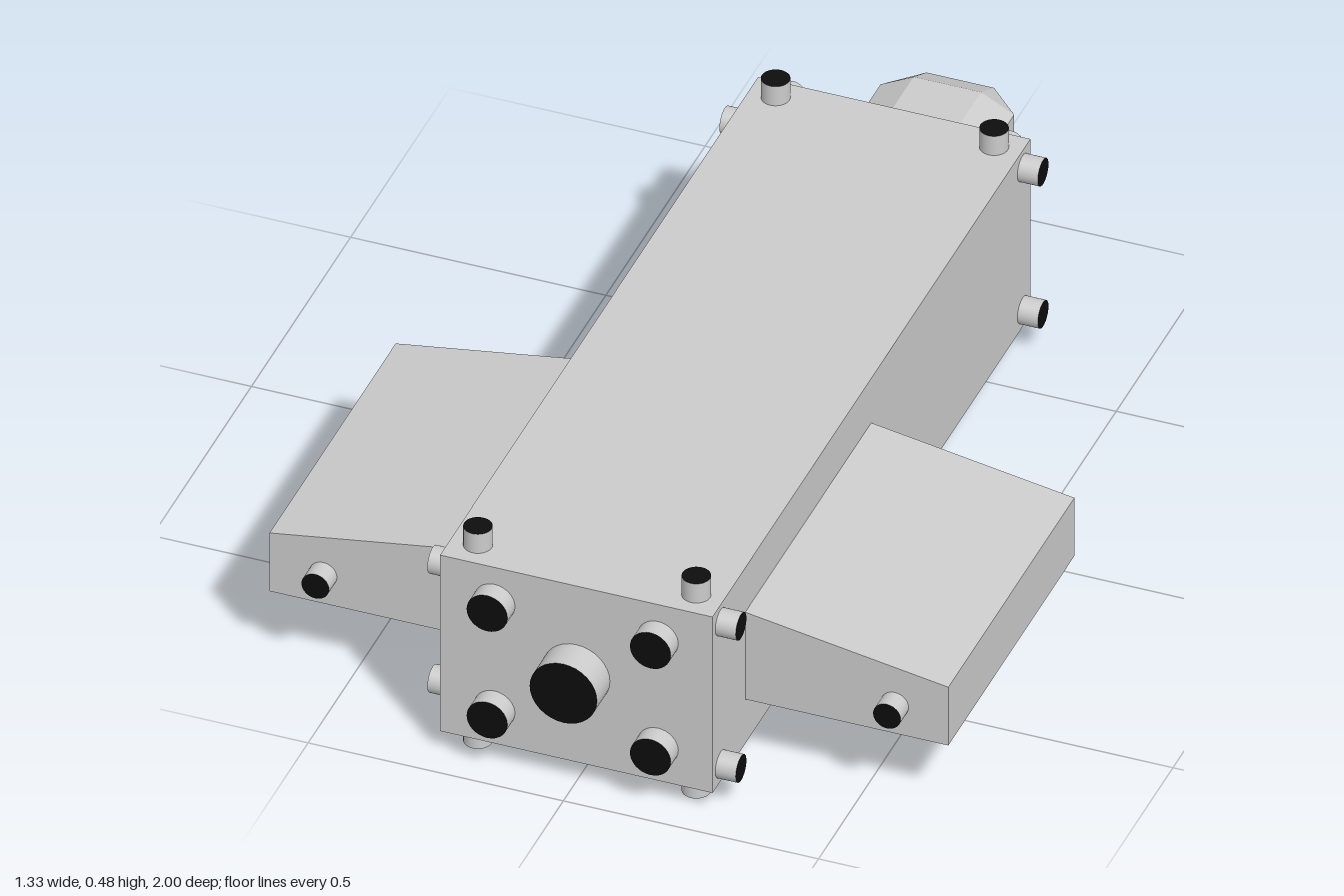
import * as THREE from 'three';
import { ConvexGeometry } from 'three/addons/geometries/ConvexGeometry.js';

const grey = new THREE.MeshStandardMaterial({ color: 0xcccccc });
const flatGrey = new THREE.MeshStandardMaterial({ color: 0xcccccc, flatShading: true });
const black = new THREE.MeshStandardMaterial({ color: 0x0d0d0d });

// Short tube standing on a surface point, pointing along dir, with a black mouth
function nozzle(name, radius, length, base, dir) {
  const group = new THREE.Group();
  group.name = name;
  const tube = new THREE.Mesh(new THREE.CylinderGeometry(radius, radius, length, 32, 1, true), grey);
  tube.position.y = length / 2;
  tube.name = name + 'Tube';
  const mouth = new THREE.Mesh(new THREE.CircleGeometry(radius, 32), black);
  mouth.rotation.x = -Math.PI / 2;
  mouth.position.y = length;
  mouth.name = name + 'Mouth';
  group.add(tube, mouth);
  group.position.set(...base);
  group.quaternion.setFromUnitVectors(new THREE.Vector3(0, 1, 0), new THREE.Vector3(...dir));
  return group;
}

// Wedge wing extruded along z; side is +1 (left) or -1 (right)
function wing(side) {
  const pts = [[0.26, 0.144], [0.665, 0.144], [0.665, 0.275], [0.26, 0.341]];
  const shape = new THREE.Shape(pts.map(([x, y]) => new THREE.Vector2(side * x, y)));
  const geo = new THREE.ExtrudeGeometry(shape, { depth: 0.635, bevelEnabled: false });
  geo.translate(0, 0, 0.135);
  const mesh = new THREE.Mesh(geo, flatGrey);
  mesh.name = side > 0 ? 'leftWing' : 'rightWing';
  return mesh;
}

// Box with every edge chamfered: three sets of inset corners
function chamferedBox(hx, hy, hz, ix, iy, iz) {
  const pts = [];
  for (const x of [-1, 1]) for (const y of [-1, 1]) for (const z of [-1, 1]) {
    pts.push(new THREE.Vector3(x * hx, y * (hy - iy), z * (hz - iz)));
    pts.push(new THREE.Vector3(x * (hx - ix), y * hy, z * (hz - iz)));
    pts.push(new THREE.Vector3(x * (hx - ix), y * (hy - iy), z * hz));
  }
  return new ConvexGeometry(pts);
}

export function createModel() {
  const model = new THREE.Group();
  model.name = 'spacecraft';

  // Long box hull
  const hull = new THREE.Mesh(new THREE.BoxGeometry(0.534, 0.396, 1.602), flatGrey);
  hull.position.set(0, 0.242, 0.134);
  hull.name = 'hull';
  model.add(hull);

  // Chamfered block at the back
  const tail = new THREE.Mesh(chamferedBox(0.131, 0.067, 0.22, 0.065, 0.034, 0.065), flatGrey);
  tail.position.set(0, 0.246, -0.78);
  tail.name = 'tailBlock';
  model.add(tail);

  // Main nozzle
  model.add(nozzle('mainNozzle', 0.066, 0.065, [0, 0.242, 0.935], [0, 0, 1]));

  for (const s of [-1, 1]) {
    // Wings with a small nozzle each
    model.add(wing(s));
    model.add(nozzle('wingNozzle', 0.027, 0.04, [s * 0.56, 0.209, 0.77], [0, 0, 1]));

    // Front and back corner nozzles
    for (const y of [0.122, 0.362])
      model.add(nozzle('frontNozzle', 0.04, 0.038, [s * 0.16, y, 0.935], [0, 0, 1]));
    for (const y of [0.098, 0.392])
      model.add(nozzle('backNozzle', 0.026, 0.04, [s * 0.214, y, -0.667], [0, 0, -1]));

    // Top, bottom and side nozzles; the two sides sit slightly differently
    for (const end of [-1, 1]) {
      const z = 0.13 + end * 0.75;
      model.add(nozzle('topNozzle', 0.027, 0.043, [s * 0.214, 0.44, z], [0, 1, 0]));
      model.add(nozzle('bottomNozzle', 0.027, 0.044, [s * 0.214, 0.044, z], [0, -1, 0]));
      const sideZ = 0.133 + end * (s > 0 ? 0.761 : 0.736);
      for (const up of [-1, 1]) {
        const y = 0.242 + up * (s > 0 ? 0.16 : 0.134);
        model.add(nozzle('sideNozzle', 0.027, 0.04, [s * 0.267, y, sideZ], [s, 0, 0]));
      }
    }
  }
  return model;
}
